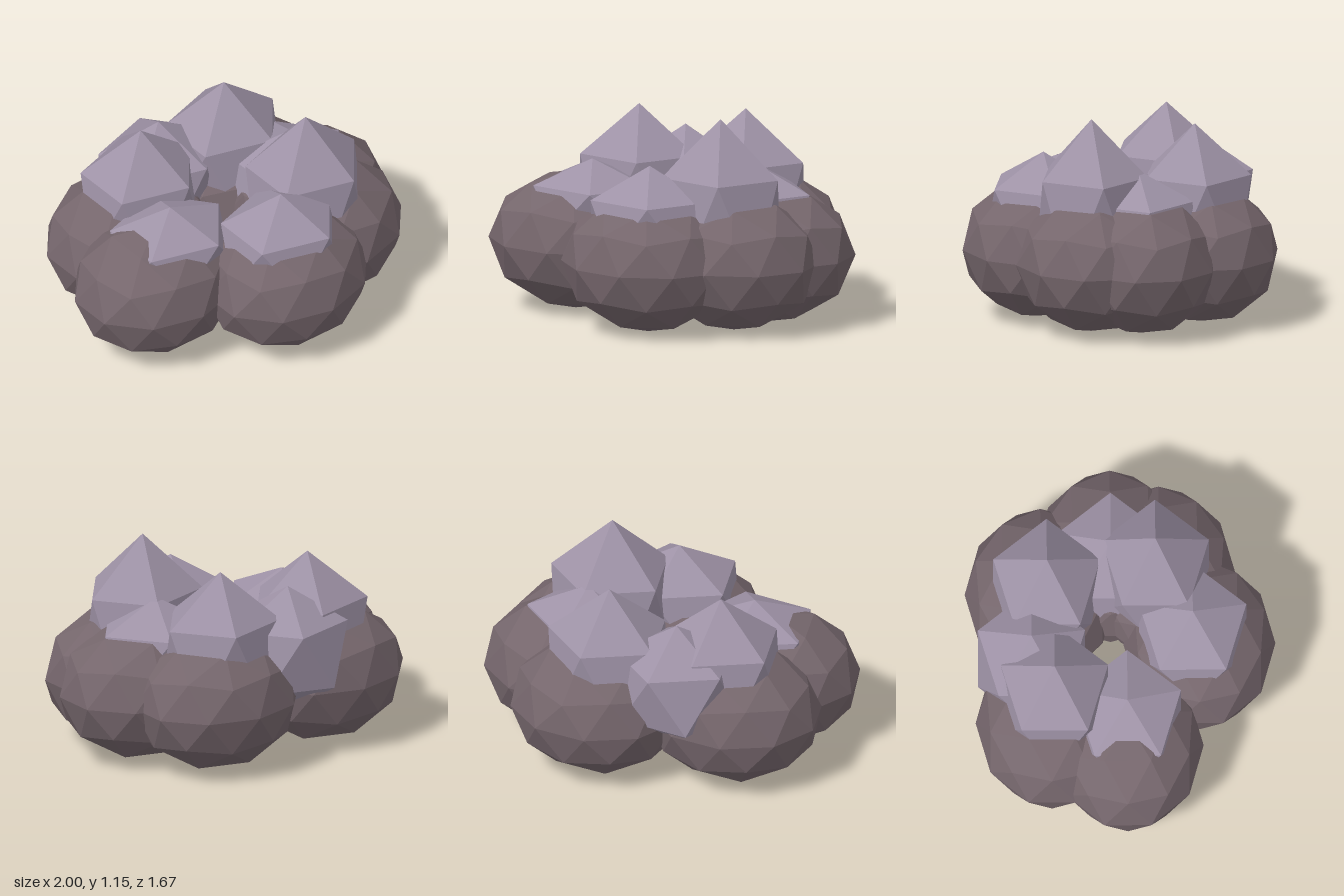
import * as THREE from 'three';

const rockMaterial = new THREE.MeshStandardMaterial({ color: 0x75666c });
rockMaterial.name = 'dark rock';
const crystalMaterial = new THREE.MeshStandardMaterial({ color: 0x9e92a6 });
crystalMaterial.name = 'pale crystal';

// Faceted ball standing on one vertex, stretched along each axis
function facetedBall(detail, rx, ry, rz) {
  const geometry = new THREE.IcosahedronGeometry(1, detail);
  geometry.rotateZ(-Math.atan(2 / (1 + Math.sqrt(5))));
  geometry.scale(rx, ry, rz);
  geometry.computeVertexNormals(); // unshared corners give flat facets
  return geometry;
}

export function createModel() {
  const group = new THREE.Group();
  group.name = 'crystalRockCluster';

  const add = (name, geometry, material, x, y, z) => {
    const mesh = new THREE.Mesh(geometry, material);
    mesh.name = name;
    mesh.position.set(x, y, z);
    group.add(mesh);
  };

  // Ring of boulders: x, z
  const boulders = [
    [0.04, 0.42],
    [0.45, 0.205],
    [0.543, -0.058],
    [0.326, -0.433],
    [-0.41, -0.378],
    [-0.543, 0.03],
  ];
  const boulder = facetedBall(1, 0.48, 0.38, 0.41);
  boulders.forEach(([x, z], i) => add(`boulder${i + 1}`, boulder, rockMaterial, x, 0.38, z));

  // Crystals set into the boulders: x, z, height of the tip
  const crystals = [
    [0.035, 0.385, 0.905],
    [0.365, 0.185, 1.15],
    [0.45, -0.055, 0.875],
    [0.27, -0.4, 1.08],
    [-0.115, -0.485, 0.945],
    [-0.335, -0.362, 1.065],
    [-0.445, 0.03, 0.832],
  ];
  const middle = 0.585;
  crystals.forEach(([x, z, tip], i) =>
    add(`crystal${i + 1}`, facetedBall(0, 0.375, tip - middle, 0.34), crystalMaterial, x, middle, z));

  return group;
}
